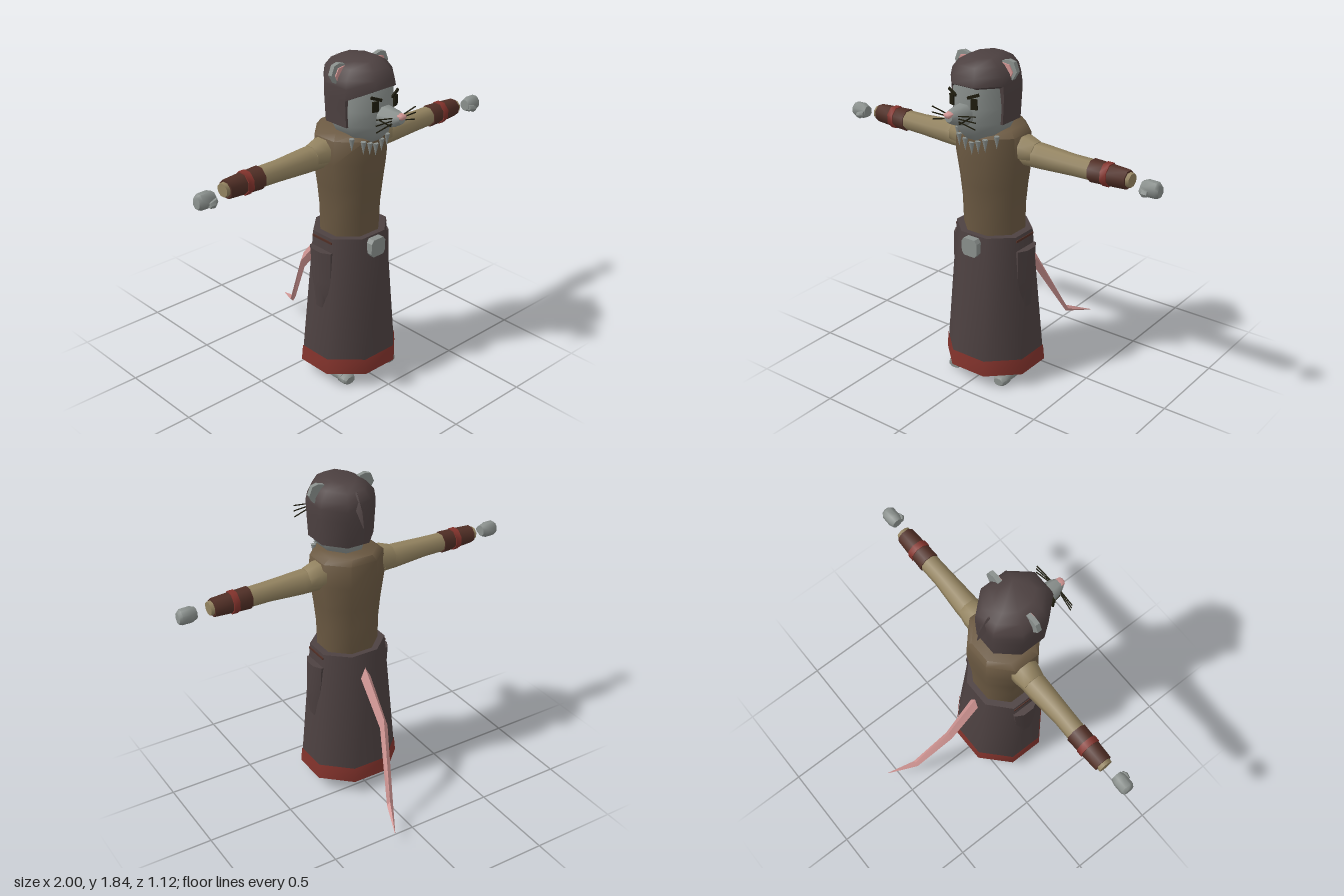
import * as THREE from 'three';
import { toCreasedNormals } from 'three/addons/utils/BufferGeometryUtils.js';

const mat = (name, color) => {
  const m = new THREE.MeshStandardMaterial({ color });
  m.name = name;
  return m;
};

// Loft through rings [t, radiusA, radiusB, centreA, centreB, maxB] along an axis.
// Axis x: A = y, B = z.  Axis y: A = x, B = z.  Axis z: A = x, B = y.
function loft(axis, rings, { n = 8, phase = 0.5, caps = true, crease = 0.95 } = {}) {
  const pos = [], idx = [];
  const put = (t, a, b) => {
    if (axis === 'x') pos.push(t, a, b);
    else if (axis === 'y') pos.push(a, t, b);
    else pos.push(a, b, t);
  };
  const grow = 1 / Math.cos((2 * Math.PI * phase) / n);
  for (const [t, ra, rb, ca = 0, cb = 0, maxB = Infinity] of rings) {
    for (let j = 0; j < n; j++) {
      const k = ((j + phase) / n) * Math.PI * 2;
      put(t, ca + ra * grow * Math.cos(k), Math.min(maxB, cb + rb * grow * Math.sin(k)));
    }
  }
  const tri = (a, b, c) => (axis === 'y' ? idx.push(a, b, c) : idx.push(a, c, b));
  for (let i = 0; i < rings.length - 1; i++) {
    for (let j = 0; j < n; j++) {
      const a = i * n + j, b = i * n + ((j + 1) % n);
      tri(a, a + n, b);
      tri(b, a + n, b + n);
    }
  }
  if (caps) {
    const top = (rings.length - 1) * n;
    for (let j = 1; j < n - 1; j++) {
      tri(0, j, j + 1);
      tri(top, top + j + 1, top + j);
    }
  }
  const g = new THREE.BufferGeometry();
  g.setAttribute('position', new THREE.Float32BufferAttribute(pos, 3));
  g.setIndex(idx);
  return toCreasedNormals(g, crease);
}

function plate(points, depth) {
  const shape = new THREE.Shape(points.map(([x, y]) => new THREE.Vector2(x, y)));
  return new THREE.ExtrudeGeometry(shape, { depth, bevelEnabled: false });
}

export function createModel() {
  const cloth = mat('darkCloth', 0x4d4141);
  const vest = mat('vestBrown', 0x6b5942);
  const sleeve = mat('sleeveTan', 0x938360);
  const leather = mat('leatherBrown', 0x512f26);
  const red = mat('trimRed', 0x83332c);
  const fur = mat('furGrey', 0x8a908d);
  const pink = mat('skinPink', 0xcf9492);
  const black = mat('featureBlack', 0x1e1c0e);

  const model = new THREE.Group();
  model.name = 'robedRodent';
  const add = (parent, name, geo, material, x = 0, y = 0, z = 0) => {
    const m = new THREE.Mesh(geo, material);
    m.name = name;
    m.position.set(x, y, z);
    parent.add(m);
    return m;
  };
  const box = (w, h, d) => new THREE.BoxGeometry(w, h, d);

  // Robe
  add(model, 'skirt', loft('y', [
    [0.08, 0.261, 0.246, 0, 0.18], [0.88, 0.2, 0.18, 0, 0.18],
  ]), cloth);
  add(model, 'skirtHem', loft('y', [
    [0.08, 0.265, 0.25, 0, 0.18], [0.17, 0.258, 0.243, 0, 0.18],
  ], { caps: false }), red);
  add(model, 'vest', loft('y', [
    [0.86, 0.16, 0.148, 0, 0.18], [1.03, 0.164, 0.154, 0, 0.18],
    [1.15, 0.175, 0.166, 0, 0.18], [1.3, 0.197, 0.18, 0, 0.18],
    [1.43, 0.188, 0.178, 0, 0.18], [1.46, 0.15, 0.145, 0, 0.165],
  ]), vest);
  add(model, 'buckle', plate([
    [-0.035, 0.77], [0.035, 0.77], [0.05, 0.79], [0.05, 0.85],
    [0.035, 0.87], [-0.035, 0.87], [-0.05, 0.85], [-0.05, 0.79],
  ], 0.04), fur, 0, 0, 0.36);

  // Ruff of teeth around the front of the collar
  for (let i = -3; i <= 3; i++) {
    const x = i * 0.042, ax = Math.abs(x);
    const tooth = new THREE.ConeGeometry(0.016, 0.07, 5);
    tooth.rotateX(Math.PI);
    add(model, 'collarTooth', tooth, fur, x, 1.37 + ax * 0.35, 0.364 - Math.max(0, ax - 0.08));
  }

  // Head
  const head = new THREE.Group();
  head.name = 'head';
  model.add(head);
  add(head, 'face', loft('y', [
    [1.42, 0.075, 0.12, 0, 0.245], [1.465, 0.118, 0.147, 0, 0.252],
    [1.52, 0.147, 0.165, 0, 0.255], [1.6, 0.153, 0.172, 0, 0.254],
    [1.74, 0.145, 0.168, 0, 0.25],
  ]), fur);
  add(head, 'hair', loft('y', [
    [1.515, 0.16, 0.18, 0, 0.237, 0.318], [1.66, 0.168, 0.185, 0, 0.235, 0.325],
    [1.72, 0.168, 0.191, 0, 0.238], [1.765, 0.16, 0.184, 0, 0.235],
    [1.81, 0.125, 0.155, 0, 0.238], [1.84, 0.075, 0.105, 0, 0.24],
  ]), cloth);
  add(head, 'hairTuft', loft('y', [
    [1.635, 0.003, 0.003, 0, 0.008], [1.72, 0.022, 0.025, 0, 0.045], [1.81, 0.005, 0.01, 0, 0.08],
  ], { n: 4, phase: 0 }), cloth);
  add(head, 'muzzle', loft('z', [
    [0.36, 0.066, 0.058, 0, 1.57], [0.44, 0.056, 0.052, 0, 1.573],
    [0.51, 0.042, 0.039, 0, 1.58], [0.545, 0.024, 0.024, 0, 1.588],
  ]), fur);
  add(head, 'nose', loft('z', [
    [0.53, 0.024, 0.016, 0, 1.6], [0.552, 0.022, 0.014, 0, 1.6], [0.56, 0.012, 0.007, 0, 1.6],
  ]), pink);

  // Tail, a tapering diamond section
  add(model, 'tail', loft('z', [
    [-0.56, 0.002, 0.002, 0.157, 0.072], [-0.4, 0.02, 0.02, 0.085, 0.13],
    [-0.2, 0.025, 0.05, 0, 0.505], [0.02, 0.032, 0.055, 0, 0.77],
  ], { n: 4, phase: 0, crease: 0.4 }), pink);

  // Everything that comes in pairs: built on the left and mirrored
  for (const s of [1, -1]) {
    const side = new THREE.Group();
    side.name = s > 0 ? 'leftSide' : 'rightSide';
    side.scale.x = s;
    model.add(side);

    // Arm
    add(side, 'shoulder', loft('x', [
      [0.13, 0.072, 0.075, 1.352, 0.165], [0.21, 0.07, 0.072, 1.352, 0.163],
      [0.27, 0.056, 0.06, 1.345, 0.163],
    ]), sleeve);
    add(side, 'sleeve', loft('x', [
      [0.2, 0.064, 0.062, 1.335, 0.163], [0.3, 0.062, 0.06, 1.335, 0.163],
      [0.49, 0.052, 0.05, 1.335, 0.166], [0.61, 0.05, 0.049, 1.335, 0.163],
      [0.78, 0.038, 0.038, 1.335, 0.163], [0.835, 0.034, 0.036, 1.335, 0.163],
    ]), sleeve);
    add(side, 'bracer', loft('x', [
      [0.605, 0.057, 0.054, 1.334, 0.163], [0.7, 0.053, 0.051, 1.334, 0.163],
      [0.815, 0.046, 0.046, 1.334, 0.163],
    ]), leather);
    add(side, 'bracerBand', loft('x', [
      [0.68, 0.058, 0.056, 1.334, 0.163], [0.715, 0.058, 0.056, 1.334, 0.163],
    ]), red);
    add(side, 'hand', loft('x', [
      [0.902, 0.03, 0.028, 1.325, 0.175], [0.93, 0.041, 0.036, 1.325, 0.175],
      [0.985, 0.04, 0.036, 1.325, 0.175], [1.0, 0.03, 0.026, 1.322, 0.175],
    ]), fur);
    add(side, 'thumb', loft('x', [
      [0.905, 0.015, 0.014, 1.318, 0.205], [0.925, 0.02, 0.019, 1.312, 0.212],
      [0.95, 0.014, 0.013, 1.308, 0.212],
    ], { n: 6 }), fur);

    // Foot
    add(side, 'foot', loft('z', [
      [0.13, 0.026, 0.026, 0.158, 0.04], [0.17, 0.038, 0.038, 0.158, 0.042],
      [0.28, 0.038, 0.037, 0.158, 0.039], [0.318, 0.034, 0.03, 0.158, 0.035],
    ]), fur);
    add(side, 'toes', loft('z', [
      [0.3, 0.038, 0.028, 0.158, 0.029], [0.345, 0.04, 0.029, 0.158, 0.029],
      [0.362, 0.03, 0.02, 0.158, 0.028],
    ]), fur);

    // Hip pouch and the belt slot above it
    add(side, 'hipPouch', loft('y', [
      [0.46, 0.036, 0.048, 0.2, 0.188], [0.56, 0.043, 0.066, 0.2, 0.195],
      [0.62, 0.045, 0.073, 0.2, 0.19], [0.8, 0.045, 0.08, 0.2, 0.18],
    ]), cloth);
    add(side, 'beltSlot', box(0.008, 0.012, 0.15), leather, 0.202, 0.855, 0.18);

    // Ear
    add(side, 'ear', plate([
      [0.1, 1.75], [0.107, 1.826], [0.144, 1.836], [0.178, 1.828], [0.198, 1.78], [0.17, 1.735],
    ], 0.025), fur, 0, 0, 0.22);
    add(side, 'innerEar', plate([
      [0.11, 1.75], [0.112, 1.818], [0.155, 1.812], [0.175, 1.775], [0.16, 1.745],
    ], 0.006), pink, 0, 0, 0.245);

    // Eye, brow, mouth line and whiskers
    add(side, 'eye', box(0.034, 0.055, 0.009), black, 0.071, 1.638, 0.427).rotation.y = 0.3;
    add(side, 'brow', box(0.065, 0.015, 0.009), black, 0.066, 1.678, 0.428).rotation.set(0, 0.3, 0.35);
    add(side, 'mouthLine', box(0.008, 0.007, 0.07), black, 0.047, 1.56, 0.475).rotation.set(0.25, -0.2, 0);
    for (const [dy, tilt] of [[0.012, 0.15], [0, -0.03], [-0.012, -0.25]]) {
      const whisker = box(0.11, 0.005, 0.005);
      whisker.translate(0.055, 0, 0);
      add(side, 'whisker', whisker, black, 0.03, 1.58 + dy, 0.513).rotation.set(0, 0.1, tilt);
    }
  }
  return model;
}
